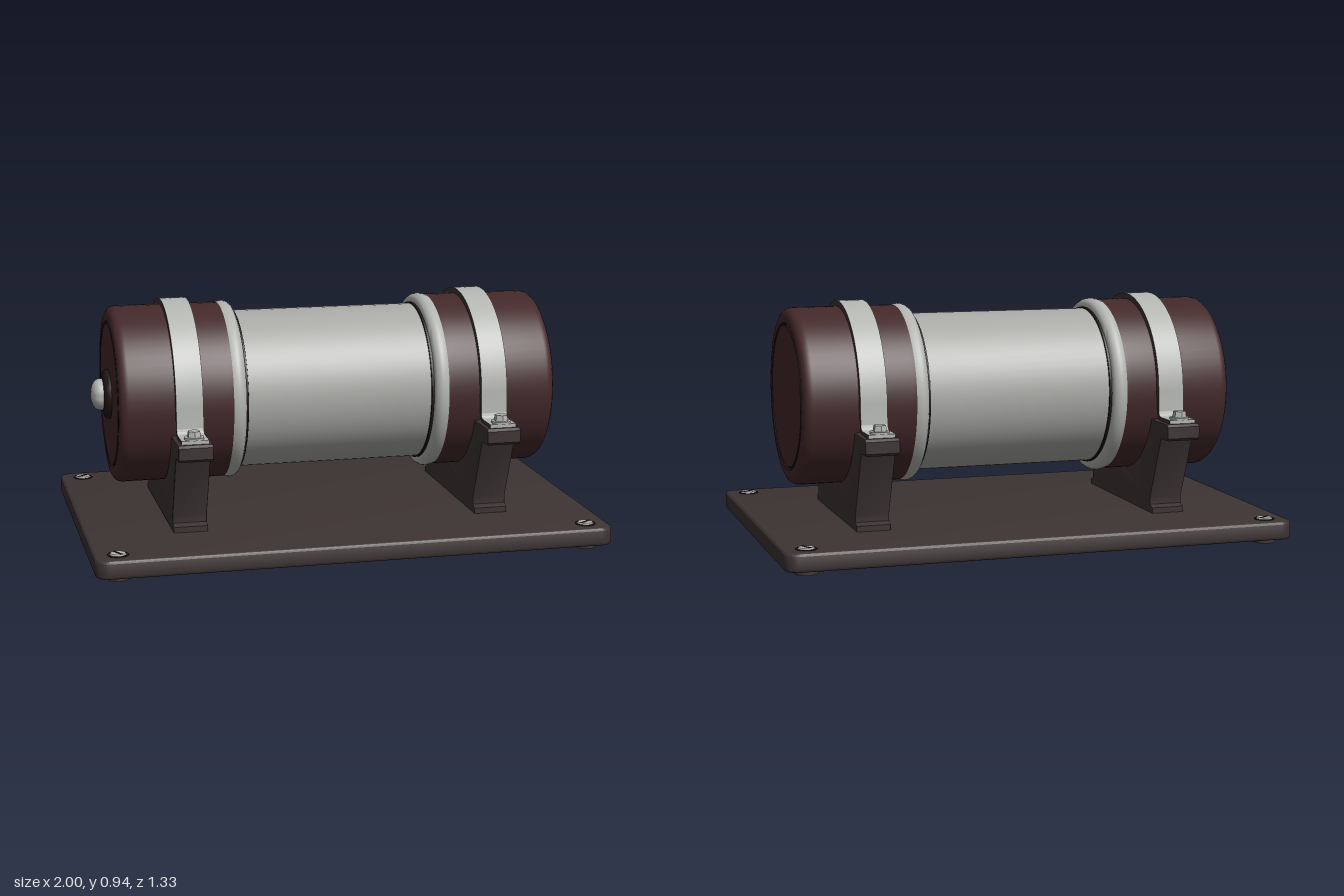
import * as THREE from 'three';
import { toCreasedNormals } from 'three/addons/utils/BufferGeometryUtils.js';

const AXIS_Y = 0.57; // height of the cylinder axis

function material(name, color) {
  const m = new THREE.MeshStandardMaterial({ color });
  m.name = name;
  return m;
}

// Profile of [radius, x] points turned around the x axis
function turned(points, segments = 64) {
  const g = new THREE.LatheGeometry(points.map(([r, x]) => new THREE.Vector2(r, x)), segments);
  g.rotateZ(-Math.PI / 2);
  return toCreasedNormals(g, 0.7);
}

// Outline in the z-y plane, extruded along x and centred on x = 0
function slab(shape, width, bevel = 0) {
  const g = new THREE.ExtrudeGeometry(shape, {
    depth: width - 2 * bevel, curveSegments: 40, bevelEnabled: bevel > 0,
    bevelSize: bevel, bevelThickness: bevel, bevelOffset: -bevel, bevelSegments: 2,
  });
  g.translate(0, 0, -(width - 2 * bevel) / 2);
  g.rotateY(Math.PI / 2);
  return toCreasedNormals(g, 0.6);
}

function add(parent, name, geometry, mat, x = 0, y = 0, z = 0) {
  const mesh = new THREE.Mesh(geometry, mat);
  mesh.name = name;
  mesh.position.set(x, y, z);
  parent.add(mesh);
  return mesh;
}

function baseShape(hx, hz, r) {
  const s = new THREE.Shape();
  s.absarc(hx - r, hz - r, r, 0, Math.PI / 2);
  s.absarc(-hx + r, hz - r, r, Math.PI / 2, Math.PI);
  s.absarc(-hx + r, -hz + r, r, Math.PI, Math.PI * 1.5);
  s.absarc(hx - r, -hz + r, r, Math.PI * 1.5, Math.PI * 2);
  s.closePath();
  return s;
}

// Cradle with flanged foot, sloping sides, ears and a round seat
function cradleShape() {
  const half = [[0.35, 0.088], [0.35, 0.112], [0.325, 0.122], [0.325, 0.15], [0.43, 0.4], [0.49, 0.4], [0.5, 0.41], [0.5, 0.455], [0.49, 0.465]];
  const s = new THREE.Shape();
  s.moveTo(-0.35, 0.088);
  half.forEach(([z, y]) => s.lineTo(z, y));
  const a = Math.asin((AXIS_Y - 0.465) / 0.343);
  s.absarc(0, AXIS_Y, 0.343, -a, -Math.PI + a, true);
  half.slice(1).reverse().forEach(([z, y]) => s.lineTo(-z, y));
  s.closePath();
  return s;
}

// Omega-shaped strap: arc over the cap, straight legs, feet turned outwards
function strapShape() {
  const s = new THREE.Shape();
  s.moveTo(0.485, 0.466);
  s.lineTo(0.485, 0.48);
  s.lineTo(0.395, 0.48);
  s.quadraticCurveTo(0.37, 0.48, 0.37, 0.505);
  s.lineTo(0.367, AXIS_Y);
  s.absarc(0, AXIS_Y, 0.367, 0, Math.PI, false);
  s.lineTo(-0.37, 0.505);
  s.quadraticCurveTo(-0.37, 0.48, -0.395, 0.48);
  s.lineTo(-0.485, 0.48);
  s.lineTo(-0.485, 0.466);
  s.lineTo(-0.385, 0.466);
  s.quadraticCurveTo(-0.355, 0.466, -0.355, 0.505);
  s.lineTo(-0.344, AXIS_Y);
  s.absarc(0, AXIS_Y, 0.344, Math.PI, 0, true);
  s.lineTo(0.355, 0.505);
  s.quadraticCurveTo(0.355, 0.466, 0.385, 0.466);
  s.closePath();
  return s;
}

export function createModel() {
  const model = new THREE.Group();
  model.name = 'mountedCylinder';
  const frame = material('dark frame', 0x3d3333);
  const maroon = material('maroon cap', 0x432829);
  const glass = material('pale cylinder', 0xa8a8a5);
  const metal = material('pale metal', 0xb2b4b0);
  const groove = material('dark groove', 0x221616);

  // Base plate
  const plate = new THREE.ExtrudeGeometry(baseShape(1, 0.665, 0.05), {
    depth: 0.05, bevelSize: 0.01, bevelThickness: 0.01, bevelOffset: -0.01, bevelSegments: 3, curveSegments: 8,
  });
  plate.rotateX(-Math.PI / 2);
  add(model, 'basePlate', toCreasedNormals(plate, 0.6), frame, 0, 0.03, 0);

  // Corner feet and slotted screws
  for (const x of [-0.91, 0.91]) {
    for (const z of [-0.58, 0.58]) {
      add(model, 'foot', new THREE.CylinderGeometry(0.045, 0.045, 0.024, 24), frame, x, 0.012, z);
      add(model, 'screwRecess', new THREE.CylinderGeometry(0.04, 0.04, 0.004, 24), groove, x, 0.09, z);
      add(model, 'screw', new THREE.CylinderGeometry(0.028, 0.033, 0.008, 24), metal, x, 0.093, z);
      const slot = add(model, 'screwSlot', new THREE.BoxGeometry(0.054, 0.002, 0.008), groove, x, 0.0975, z);
      slot.rotation.y = x * z > 0 ? 0.6 : -1.1;
    }
  }

  // Central cylinder
  add(model, 'cylinder', turned([[0.31, -0.42], [0.31, 0.42]]), glass, 0, AXIS_Y);

  // Both ends: collar, cap, cradle, strap and bolts
  const collar = turned([[0.305, 0.373], [0.328, 0.373], [0.339, 0.379], [0.347, 0.39],
    [0.35, 0.402], [0.348, 0.416], [0.344, 0.426], [0.33, 0.426]]);
  const seam = turned([[0.308, 0.362], [0.315, 0.364], [0.315, 0.376], [0.308, 0.377]]);
  const cap = turned([[0.31, 0.424], [0.344, 0.424], [0.345, 0.44], [0.345, 0.825], [0.342, 0.84],
    [0.334, 0.851], [0.322, 0.858], [0.308, 0.86], [0.287, 0.86]]);
  const capGroove = turned([[0.287, 0.86], [0.284, 0.852], [0.278, 0.852], [0.275, 0.86]]);
  const capFace = turned([[0.275, 0.86], [0, 0.86]]);
  const cradle = slab(cradleShape(), 0.134, 0.006);
  const strap = slab(strapShape(), 0.104);

  for (const side of [1, -1]) {
    const end = new THREE.Group();
    end.name = side > 0 ? 'leftEnd' : 'rightEnd';
    if (side < 0) end.rotation.y = Math.PI;
    add(end, 'collar', collar, metal, 0, AXIS_Y);
    add(end, 'collarSeam', seam, groove, 0, AXIS_Y);
    add(end, 'cap', cap, maroon, 0, AXIS_Y);
    add(end, 'capGroove', capGroove, groove, 0, AXIS_Y);
    add(end, 'capFace', capFace, maroon, 0, AXIS_Y);
    add(end, 'cradle', cradle, frame, 0.6);
    add(end, 'strap', strap, [frame, metal], 0.6);
    for (const z of [-0.453, 0.453]) {
      add(end, 'washer', new THREE.CylinderGeometry(0.038, 0.038, 0.008, 24), metal, 0.6, 0.484, z);
      const head = new THREE.CylinderGeometry(0.024, 0.028, 0.024, 6).toNonIndexed();
      head.computeVertexNormals();
      add(end, 'boltHead', head, metal, 0.6, 0.499, z);
    }
    model.add(end);
  }

  // Domed button on the right end, built outwards along x and turned round
  const button = new THREE.Group();
  button.name = 'button';
  button.rotation.y = Math.PI;
  add(button, 'buttonBezel', turned([[0.098, 0.855], [0.096, 0.87], [0.088, 0.88], [0.062, 0.886], [0, 0.886]], 40), groove, 0, AXIS_Y);
  add(button, 'buttonDome', turned([[0.062, 0.884], [0.062, 0.9], [0.055, 0.914], [0.04, 0.924], [0.02, 0.93], [0, 0.931]], 40), metal, 0, AXIS_Y);
  model.add(button);

  return model;
}
